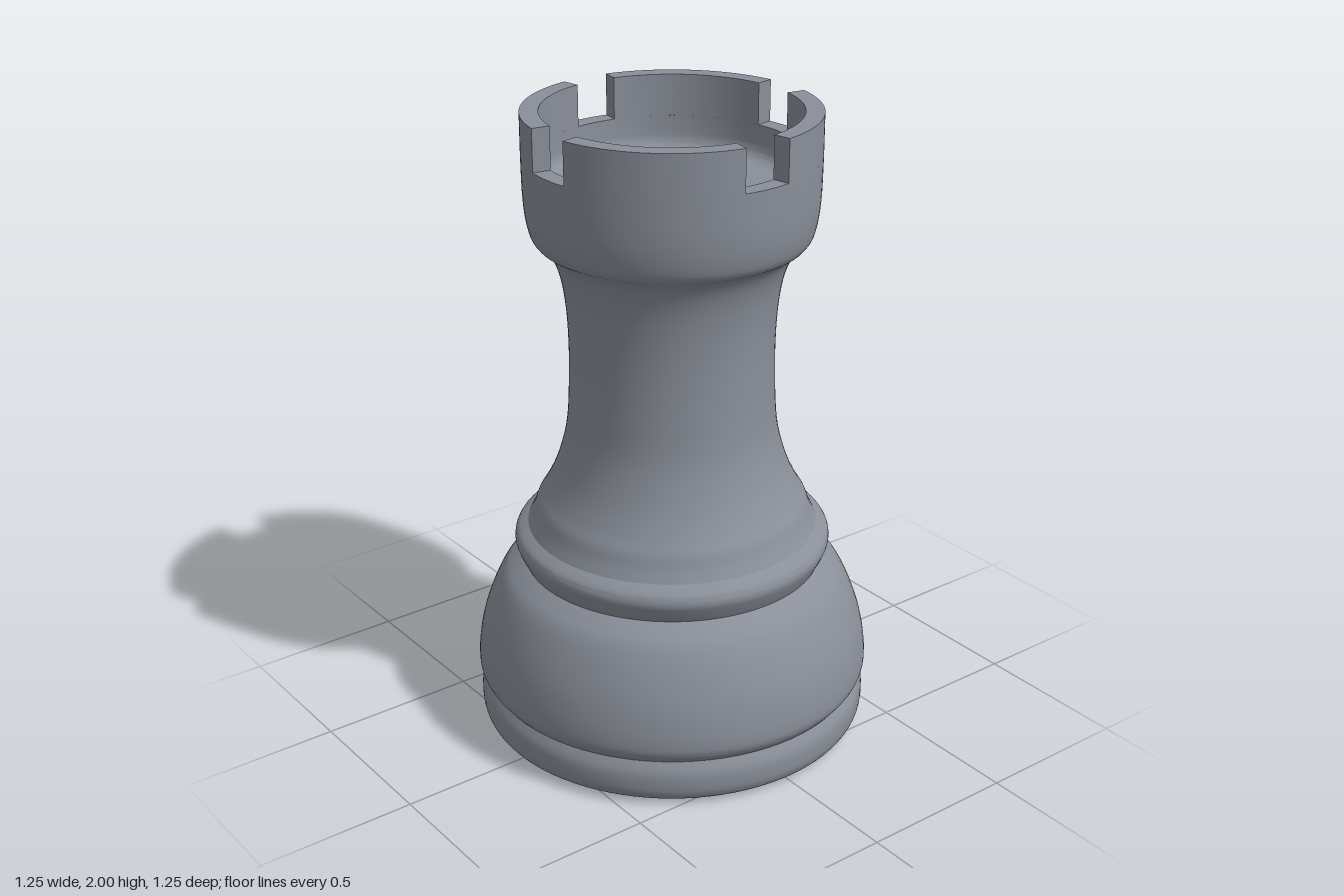
import * as THREE from 'three';
import { toCreasedNormals } from 'three/addons/utils/BufferGeometryUtils.js';

const SEGMENTS = 96;
const RIM_OUTER = 0.444, RIM_INNER = 0.388, NOTCH_FLOOR = 1.87, TOP = 2;
const NOTCH_HALF_ANGLE = THREE.MathUtils.degToRad(10);

// Smooth profile run through [radius, height] pairs
function run(pairs, steps = 4) {
  const points = pairs.map(([r, y]) => new THREE.Vector2(r, y));
  return new THREE.SplineCurve(points).getPoints((pairs.length - 1) * steps);
}

function straight(pairs) {
  return pairs.map(([r, y]) => new THREE.Vector2(r, y));
}

export function createModel() {
  const group = new THREE.Group();
  group.name = 'rook';
  const stone = new THREE.MeshStandardMaterial({ color: 0x8a8f99 });
  stone.name = 'slate grey';

  const add = (geometry, name) => {
    const mesh = new THREE.Mesh(toCreasedNormals(geometry, 0.6), stone);
    mesh.name = name;
    group.add(mesh);
    return mesh;
  };

  // Foot ring with rounded lower edge
  add(new THREE.LatheGeometry([
    ...straight([[0, 0], [0.39, 0]]),
    ...run([[0.56, 0.008], [0.598, 0.016], [0.615, 0.04], [0.62, 0.075], [0.617, 0.115], [0.6, 0.15]]),
  ], SEGMENTS), 'foot');

  // Bell-shaped base
  add(new THREE.LatheGeometry(
    run([[0.6, 0.15], [0.618, 0.175], [0.625, 0.205], [0.62, 0.27], [0.603, 0.35],
      [0.57, 0.44], [0.535, 0.505], [0.5, 0.538], [0.47, 0.56]]),
    SEGMENTS), 'base');

  // Collar bead
  add(new THREE.LatheGeometry(
    run([[0.47, 0.56], [0.486, 0.593], [0.497, 0.625], [0.488, 0.655], [0.455, 0.678]]),
    SEGMENTS), 'collar');

  // Concave stem flaring into the head
  add(new THREE.LatheGeometry(
    run([[0.455, 0.678], [0.437, 0.715], [0.422, 0.755], [0.398, 0.795], [0.367, 0.86], [0.341, 0.94],
      [0.325, 1.02], [0.318, 1.12], [0.315, 1.25], [0.319, 1.37], [0.331, 1.47],
      [0.35, 1.54], [0.375, 1.585], [0.408, 1.61]]),
    SEGMENTS), 'stem');

  // Hollow head: outer wall, notch level and dished floor
  add(new THREE.LatheGeometry([
    ...run([[0.408, 1.61], [0.424, 1.635], [0.436, 1.69], [0.442, 1.76], [RIM_OUTER, NOTCH_FLOOR]]),
    ...straight([[RIM_INNER, NOTCH_FLOOR], [RIM_INNER, 1.81]]),
    ...run([[0.386, 1.795], [0.375, 1.775], [0.35, 1.762], [0.32, 1.76]]),
    ...straight([[0, 1.76]]),
  ], SEGMENTS), 'head');

  // Four battlements between radial notches
  const shape = new THREE.Shape();
  const start = NOTCH_HALF_ANGLE, end = Math.PI / 2 - NOTCH_HALF_ANGLE;
  shape.absarc(0, 0, RIM_OUTER, start, end, false);
  shape.absarc(0, 0, RIM_INNER, end, start, true);
  shape.closePath();
  const block = new THREE.ExtrudeGeometry(shape, {
    depth: TOP - NOTCH_FLOOR, bevelEnabled: false, curveSegments: 24,
  });
  block.rotateX(-Math.PI / 2);
  block.translate(0, NOTCH_FLOOR, 0);
  for (let i = 0; i < 4; i++) {
    add(block, 'battlement' + (i + 1)).rotation.y = i * Math.PI / 2;
  }

  return group;
}
